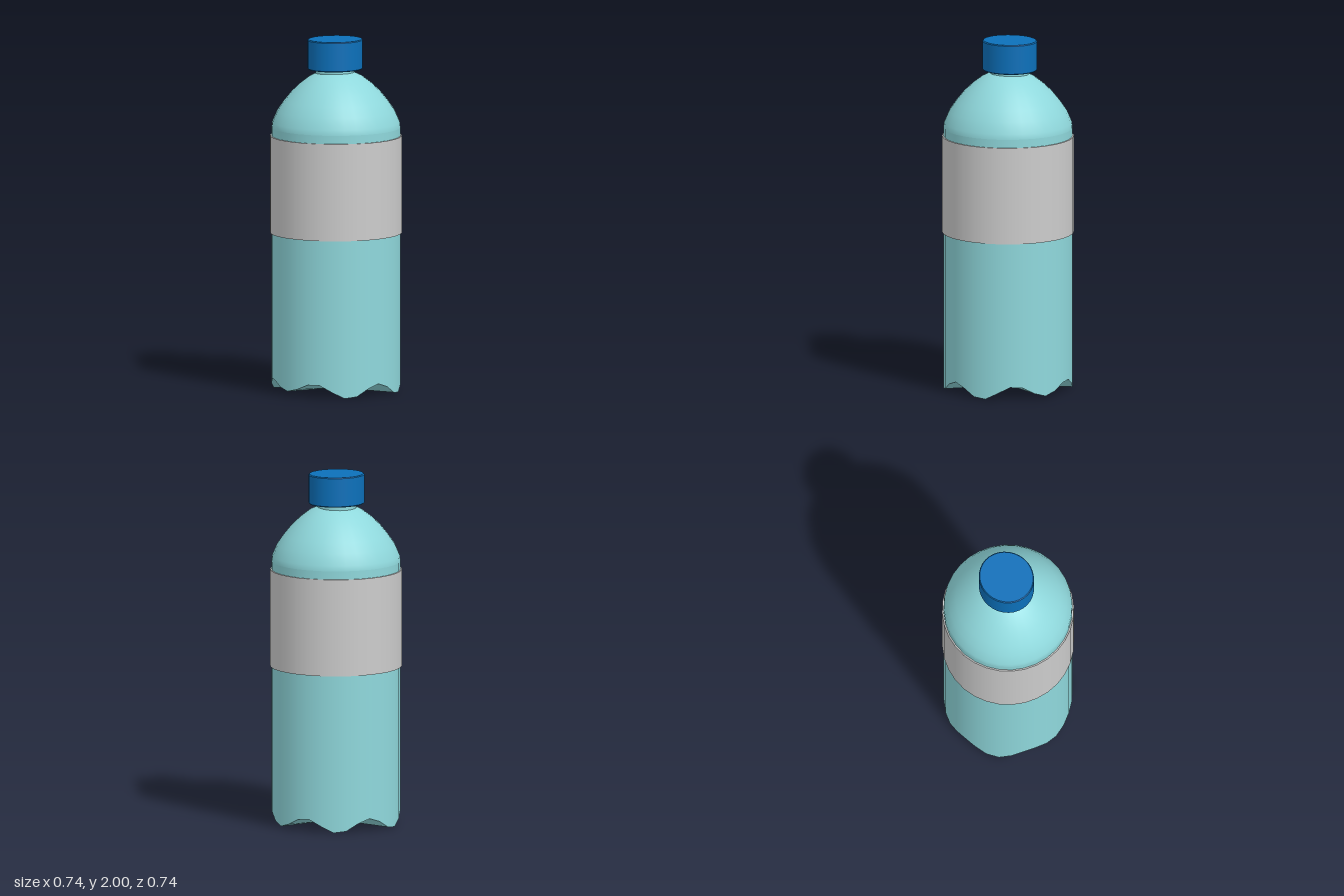
import * as THREE from 'three';

const SIDES = 32;
const BODY_R = 0.364;

const material = (color) => new THREE.MeshStandardMaterial({ color, side: THREE.DoubleSide });

function lathe(name, profile, mat) {
  const points = profile.map(([r, y]) => new THREE.Vector2(r, y));
  const mesh = new THREE.Mesh(new THREE.LatheGeometry(points, SIDES), mat);
  mesh.name = name;
  return mesh;
}

// Height of the scalloped foot: six arches, with the front and back feet slightly worn
function footHeight(x, z) {
  const a = Math.atan2(z, x);
  const wear = z > 0 ? 0.028 : 0.012;
  return 0.038 + 0.038 * Math.cos(6 * a) + wear * Math.pow(Math.abs(Math.sin(a)), 12);
}

export function createModel() {
  const bottle = new THREE.Group();
  bottle.name = 'bottle';
  const plastic = material(0x8fd8dc);
  const blue = material(0x0c70ba);
  const grey = material(0xcccccc);

  // Straight wall with a scalloped lower edge
  const wall = lathe('wall', [[BODY_R, 0], [BODY_R, 0.2], [BODY_R, 1.5]], plastic);
  const wp = wall.geometry.attributes.position;
  for (let i = 0; i < wp.count; i++) {
    if (wp.getY(i) < 0.01) wp.setY(i, footHeight(wp.getX(i), wp.getZ(i)));
  }

  // Underside, following the scalloped edge
  const baseGeo = new THREE.CircleGeometry(BODY_R, SIDES).rotateX(Math.PI / 2);
  const bp = baseGeo.attributes.position;
  bp.setY(0, 0.015);
  for (let i = 1; i < bp.count; i++) bp.setY(i, footHeight(bp.getX(i), bp.getZ(i)));
  baseGeo.computeVertexNormals();
  const base = new THREE.Mesh(baseGeo, plastic);
  base.name = 'base';

  // Domed shoulder
  const shoulder = lathe('shoulder', [
    [BODY_R, 1.5], [0.361, 1.53], [0.333, 1.595], [0.295, 1.65], [0.25, 1.705],
    [0.2, 1.752], [0.15, 1.79], [0.105, 1.812], [0.08, 1.818],
  ], plastic);

  const neck = lathe('neck', [[0.11, 1.8], [0.11, 1.85]], plastic);
  neck.position.x = -0.01;

  // Wrap-around sleeve with a little thickness
  const sleeve = new THREE.Group();
  sleeve.name = 'label';
  const inner = 0.36, outer = 0.372, low = 0.9, high = 1.453;
  sleeve.add(
    lathe('labelOuter', [[outer, low], [outer, high]], grey),
    lathe('labelTopEdge', [[outer, high], [inner, high]], grey),
    lathe('labelBottomEdge', [[inner, low], [outer, low]], grey),
  );

  // Screw cap with a small bevel, set slightly off centre
  const cap = new THREE.Group();
  cap.name = 'cap';
  const r = 0.155, bevel = 0.005;
  cap.add(
    lathe('capSide', [[r, 1.83 + bevel], [r, 2 - bevel]], blue),
    lathe('capTop', [[r - bevel, 2], [0, 2]], blue),
    lathe('capTopBevel', [[r, 2 - bevel], [r - bevel, 2]], blue),
    lathe('capBottomBevel', [[r - bevel, 1.83], [r, 1.83 + bevel]], blue),
    lathe('capUnderside', [[0, 1.83], [r - bevel, 1.83]], blue),
  );
  cap.scale.set(0.97, 1, 1.03);
  cap.position.set(-0.01, 0, -0.003);

  bottle.add(wall, base, shoulder, neck, sleeve, cap);
  return bottle;
}
